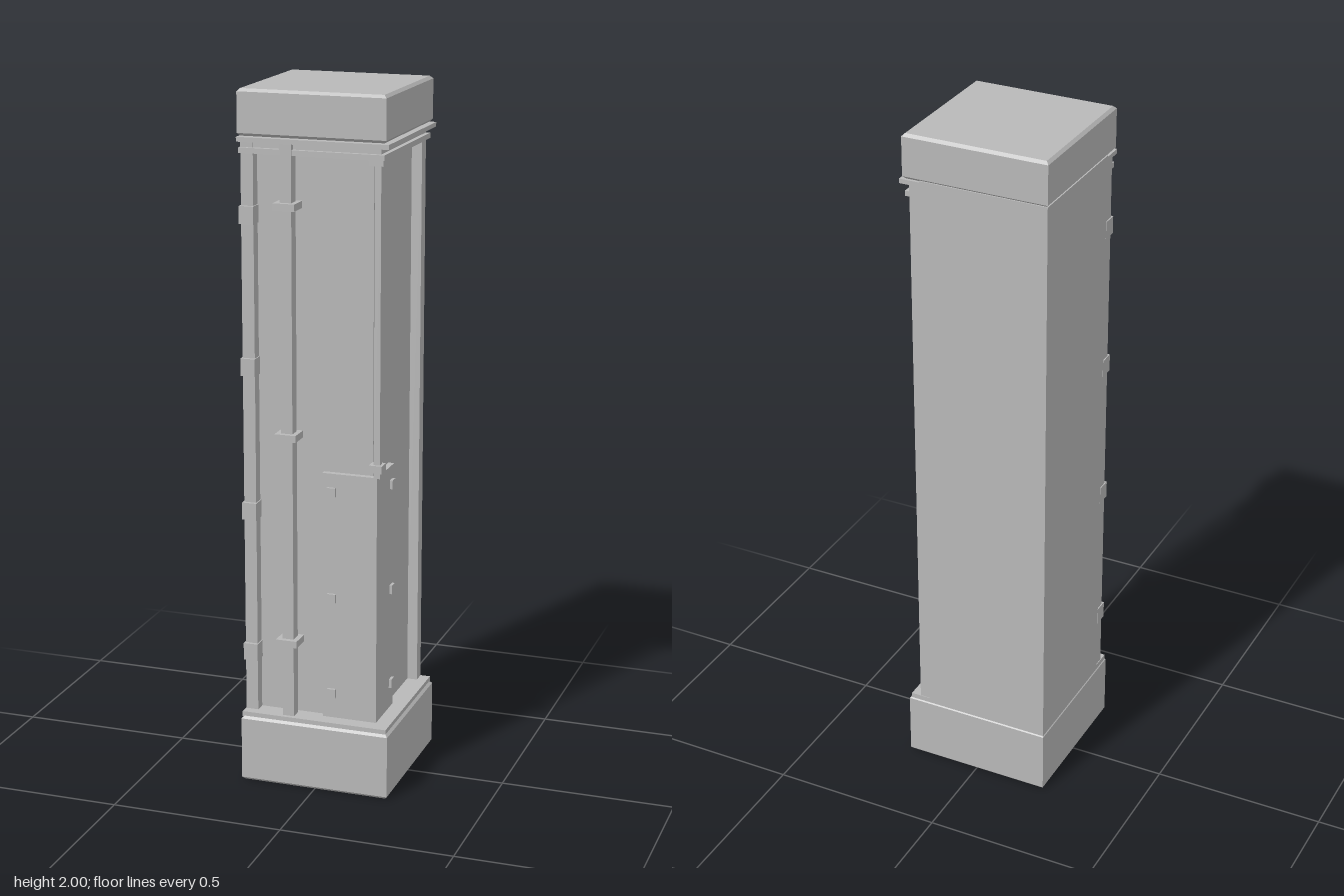
import * as THREE from 'three';

export function createModel() {
  const model = new THREE.Group();
  const grey = new THREE.MeshStandardMaterial({ color: 0xb8b8b8 });
  grey.name = 'plain grey';

  // Box given by its limits on each axis
  const box = (name, [x0, x1], [y0, y1], [z0, z1]) => {
    const mesh = new THREE.Mesh(new THREE.BoxGeometry(x1 - x0, y1 - y0, z1 - z0), grey);
    mesh.position.set((x0 + x1) / 2, (y0 + y1) / 2, (z0 + z1) / 2);
    mesh.name = name;
    model.add(mesh);
  };

  // Square block with small chamfers on every edge; shares the back left corner
  const B = -0.221, c = 0.008;
  const block = (name, max, y0, y1) => {
    const a = B + c, b = max - c;
    const shape = new THREE.Shape([[a, a], [b, a], [b, b], [a, b]].map(p => new THREE.Vector2(...p)));
    const geo = new THREE.ExtrudeGeometry(shape, {
      depth: y1 - y0 - 2 * c, bevelEnabled: true, bevelSegments: 1, bevelSize: c, bevelThickness: c,
    });
    geo.rotateX(-Math.PI / 2);
    geo.translate(0, y0 + c, a + b);
    const mesh = new THREE.Mesh(geo, grey);
    mesh.name = name;
    model.add(mesh);
  };

  // Square layer flush with the back and left faces
  const layer = (name, max, y0, y1) => box(name, [-0.22, max], [y0, y1], [-0.22, max]);

  // Plinth, shaft, cornice and cap
  block('plinth', 0.219, 0, 0.198);
  layer('plinthLedge', 0.212, 0.195, 0.21);
  layer('shaft', 0.153, 0.2, 1.875);
  layer('corniceLower', 0.195, 1.825, 1.84);
  layer('corniceFascia', 0.182, 1.84, 1.858);
  layer('corniceUpper', 0.212, 1.858, 1.871);
  block('cap', 0.202, 1.872, 2);

  // Edge strips: front left corner and back right corner
  box('frontEdgeStrip', [-0.218, -0.182], [0.21, 1.86], [0.15, 0.185]);
  box('sideEdgeStrip', [0.15, 0.183], [0.21, 1.86], [-0.218, -0.182]);
  for (const y of [0.388, 0.81, 1.228, 1.655])
    box('edgeClamp', [-0.221, -0.179], [y - 0.025, y + 0.025], [0.15, 0.195]);

  // Conduit on the front, held by brackets
  box('conduit', [-0.1, -0.067], [0.21, 1.86], [0.165, 0.2]);
  for (const y of [0.434, 1.04, 1.687])
    box('conduitBracket', [-0.115, -0.053], [y - 0.01, y + 0.01], [0.15, 0.214]);

  // Slim post standing clear of the upper corner
  box('cornerPost', [0.164, 0.182], [0.94, 1.83], [0.164, 0.182]);
  for (const y of [0.968, 1.82])
    box('postBracket', [0.152, 0.19], [y - 0.011, y + 0.011], [0.152, 0.19]);

  // Corner guard plates with square bolts
  box('frontGuardPlate', [0.01, 0.17], [0.21, 0.938], [0.15, 0.17]);
  box('sideGuardPlate', [0.15, 0.17], [0.21, 0.938], [0.015, 0.17]);
  for (const y of [0.285, 0.572, 0.885]) {
    box('frontBolt', [0.025, 0.05], [y - 0.013, y + 0.013], [0.165, 0.178]);
    box('sideBolt', [0.165, 0.178], [y - 0.013, y + 0.013], [0.027, 0.052]);
  }

  return model;
}
